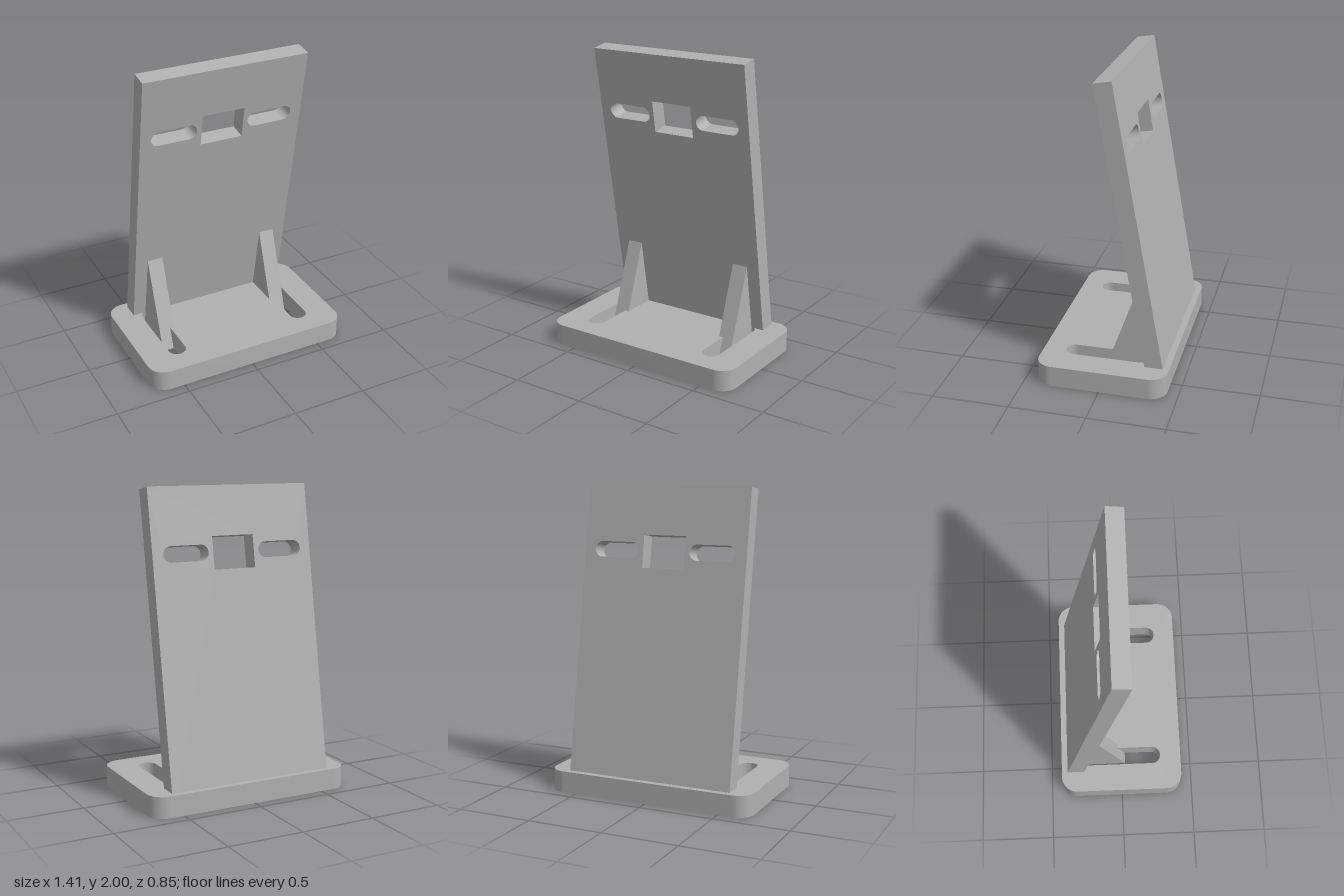
import * as THREE from 'three';
import { toCreasedNormals } from 'three/addons/utils/BufferGeometryUtils.js';

const TILT = THREE.MathUtils.degToRad(9.9);
const PLATE_T = 0.117;
const BASE_H = 0.14;

// Rounded rectangle centred on (cx, cy); used for outlines and slots
function roundedRect(target, cx, cy, w, h, r) {
  const x = w / 2 - r, y = h / 2 - r, q = Math.PI / 2;
  target.absarc(cx + x, cy + y, r, 0, q);
  target.absarc(cx - x, cy + y, r, q, 2 * q);
  target.absarc(cx - x, cy - y, r, 2 * q, 3 * q);
  target.absarc(cx + x, cy - y, r, 3 * q, 4 * q);
  target.closePath();
  return target;
}

function polygon(target, points) {
  return target.setFromPoints(points.map(([x, y]) => new THREE.Vector2(x, y)));
}

const extrude = (shape, depth) =>
  new THREE.ExtrudeGeometry(shape, { depth, bevelEnabled: false, curveSegments: 12 });

export function createModel() {
  const model = new THREE.Group();
  model.name = 'angledMountingBracket';
  const grey = new THREE.MeshStandardMaterial({ color: 0xb0b0b0 });
  grey.name = 'grey';

  const add = (name, geometry) => {
    const mesh = new THREE.Mesh(toCreasedNormals(geometry, 0.6), grey);
    mesh.name = name;
    model.add(mesh);
    return mesh;
  };

  // Base with two long through slots
  const baseShape = roundedRect(new THREE.Shape(), 0, 0, 1.414, 0.85, 0.11);
  for (const side of [-1, 1]) {
    baseShape.holes.push(roundedRect(new THREE.Path(), side * 0.46, 0, 0.12, 0.56, 0.06));
  }
  add('base', extrude(baseShape, BASE_H).rotateX(-Math.PI / 2));

  // Leaning plate with a square window and two slots
  const plateShape = polygon(new THREE.Shape(), [[-0.565, 0], [0.565, 0], [0.565, 2.01], [-0.565, 2.01]]);
  plateShape.holes.push(polygon(new THREE.Path(), [[-0.146, 1.478], [-0.146, 1.69], [0.146, 1.69], [0.146, 1.478]]));
  for (const side of [-1, 1]) {
    plateShape.holes.push(roundedRect(new THREE.Path(), side * 0.335, 1.589, 0.312, 0.102, 0.051));
  }
  const plate = extrude(plateShape, PLATE_T).translate(0, 0, -PLATE_T);
  // Cut the foot so it lies level once the plate leans
  const pos = plate.attributes.position;
  for (let i = 0; i < pos.count; i++) {
    if (pos.getY(i) < 0.01) pos.setY(i, pos.getZ(i) * Math.tan(TILT));
  }
  plate.computeVertexNormals();
  add('leaningPlate', plate.rotateX(TILT).translate(0, 0, -0.29));

  // Gussets running down through the base, profile drawn as (-z, y)
  const gussetShape = polygon(new THREE.Shape(), [[-0.03, 0], [0.3, 0], [0.23, 0.59], [0.185, 0.6]]);
  for (const side of [-1, 1]) {
    const gusset = extrude(gussetShape, 0.106).translate(0, 0, -0.053).rotateY(Math.PI / 2);
    add(side > 0 ? 'leftGusset' : 'rightGusset', gusset).position.x = side * 0.424;
  }

  return model;
}
